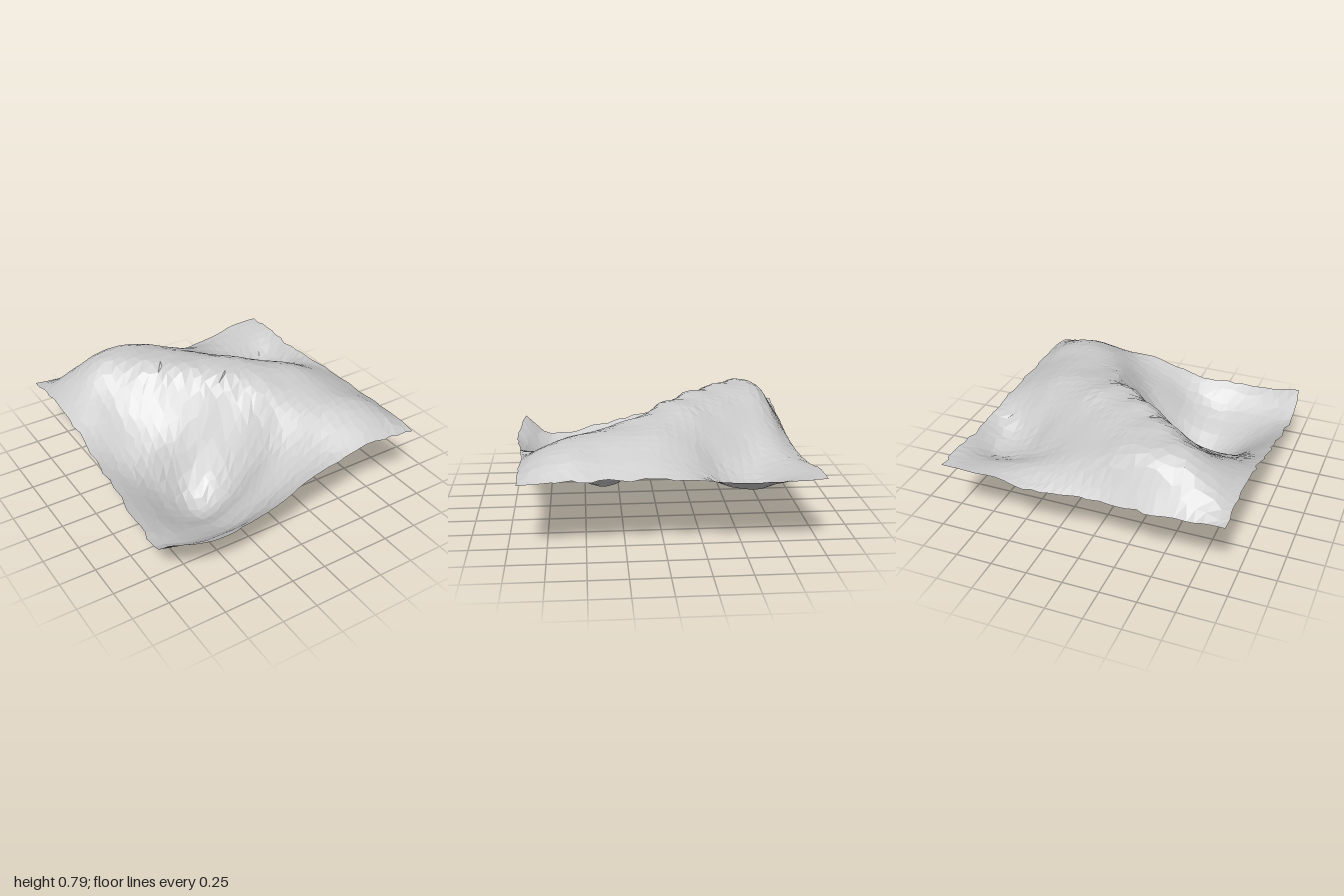
import * as THREE from 'three';

// Terrain heights: one row per 0.2 of z (back to front), one column per 0.2 of x (-1 to 1)
const HEIGHTS = [
  [.52, .50, .47, .45, .43, .43, .43, .44, .48, .50, .50],
  [.53, .63, .72, .745, .70, .62, .55, .50, .475, .465, .50],
  [.55, .65, .765, .785, .77, .70, .61, .50, .41, .39, .51],
  [.53, .59, .63, .77, .78, .765, .69, .59, .455, .415, .51],
  [.48, .48, .49, .59, .765, .775, .77, .69, .605, .52, .51],
  [.43, .37, .36, .39, .52, .735, .75, .73, .685, .59, .51],
  [.39, .29, .16, .07, .20, .47, .69, .705, .69, .61, .51],
  [.34, .23, .09, .01, .11, .35, .60, .68, .68, .61, .51],
  [.29, .21, .13, .11, .20, .38, .51, .64, .675, .63, .51],
  [.28, .24, .21, .20, .27, .39, .48, .56, .61, .59, .51],
  [.46, .38, .35, .37, .39, .45, .50, .48, .49, .49, .50],
];
// Outline of the back and front borders along x
const BACK = [-1, -.985, -.985, -.975, -.96, -.955, -.96, -.975, -.975, -1, -1];
const FRONT = [.95, .98, 1, .985, .955, .94, .925, .915, .91, .915, .915];
const SEGMENTS = 30;

// Smooth curve through evenly spaced values, t from -1 to 1
function sample(values, t) {
  const last = values.length - 1;
  const p = THREE.MathUtils.clamp((t + 1) / 2, 0, 1) * last;
  const i = Math.min(Math.floor(p), last - 1);
  const f = p - i;
  const a = values[Math.max(i - 1, 0)], b = values[i];
  const c = values[i + 1], d = values[Math.min(i + 2, last)];
  return b + 0.5 * f * (c - a + f * (2 * a - 5 * b + 4 * c - d + f * (3 * (b - c) + d - a)));
}

const heightAt = (x, z) => sample(HEIGHTS.map((row) => sample(row, x)), z);

// Small seeded generator returning -1 to 1
function makeNoise(seed) {
  let s = seed;
  return () => {
    s = (s * 16807) % 2147483647;
    return (s / 2147483647) * 2 - 1;
  };
}

function terrainGeometry() {
  const noise = makeNoise(4711);
  const geometry = new THREE.PlaneGeometry(2, 2, SEGMENTS, SEGMENTS);
  geometry.rotateX(-Math.PI / 2);
  const pos = geometry.attributes.position;
  const cell = 2 / SEGMENTS;

  for (let i = 0; i < pos.count; i++) {
    const col = i % (SEGMENTS + 1);
    const row = Math.floor(i / (SEGMENTS + 1));
    const sideEdge = col === 0 || col === SEGMENTS;
    const endEdge = row === 0 || row === SEGMENTS;
    // Irregular facets inside, slightly ragged borders outside
    const u = pos.getX(i) + noise() * (sideEdge ? (endEdge ? 0 : 0.014) : cell * 0.28);
    const v = pos.getZ(i) + noise() * (endEdge ? 0.008 : cell * 0.28);
    const x = u * 0.957;
    const z = THREE.MathUtils.clamp(
      THREE.MathUtils.lerp(sample(BACK, x), sample(FRONT, x), (v + 1) / 2), -1, 1);
    pos.setXYZ(i, x, heightAt(x, z), z);
  }

  // Rest the lowest point of the hollow on the ground
  geometry.computeBoundingBox();
  geometry.translate(0, -geometry.boundingBox.min.y, 0);
  geometry.computeVertexNormals();
  return geometry;
}

export function createModel() {
  const model = new THREE.Group();
  model.name = 'terrainPatch';

  const stone = new THREE.MeshStandardMaterial({
    color: 0xcccccc, flatShading: true, side: THREE.DoubleSide,
  });
  stone.name = 'pale grey';

  const terrain = new THREE.Mesh(terrainGeometry(), stone);
  terrain.name = 'terrainSurface';
  model.add(terrain);
  return model;
}
